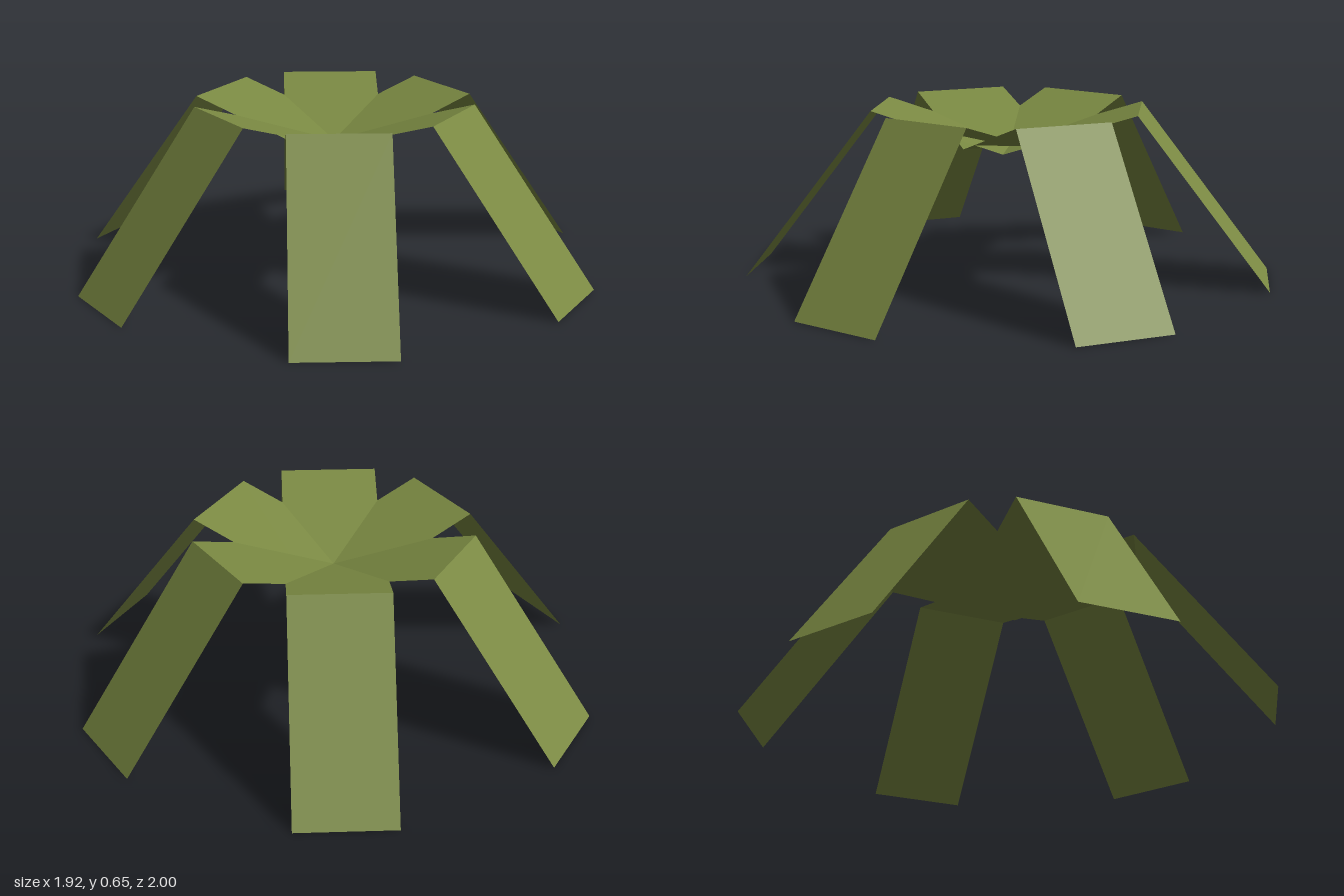
import * as THREE from 'three';

const LEAF_COUNT = 6;
const LEAF_WIDTH = 0.375;
const CENTRE_Y = 0.5; // height where the leaves meet
const FOLD_Y = 0.655; // height of the fold, halfway out

// One strip that rises from the centre to a fold, then drops to the ground
function createLeafGeometry() {
  const flat = new THREE.PlaneGeometry(LEAF_WIDTH, 1, 1, 2);
  const pos = flat.attributes.position;
  const heights = [CENTRE_Y, FOLD_Y, 0];
  for (let i = 0; i < pos.count; i++) {
    const reach = 0.5 - pos.getY(i); // 0 at the centre, 1 at the tip
    pos.setXYZ(i, pos.getX(i), heights[Math.round(reach * 2)], reach);
  }
  const geometry = flat.toNonIndexed(); // crisp fold
  geometry.computeVertexNormals();
  return geometry;
}

export function createModel() {
  const model = new THREE.Group();
  model.name = 'plant';

  const leafGreen = new THREE.MeshStandardMaterial({
    name: 'leaf green',
    color: 0x7a8942,
    side: THREE.DoubleSide,
    flatShading: true,
  });

  // Leaves fanned evenly around the centre
  const geometry = createLeafGeometry();
  for (let i = 0; i < LEAF_COUNT; i++) {
    const leaf = new THREE.Mesh(geometry, leafGreen);
    leaf.name = `leaf${i + 1}`;
    leaf.rotation.y = (i / LEAF_COUNT) * Math.PI * 2;
    model.add(leaf);
  }
  return model;
}
